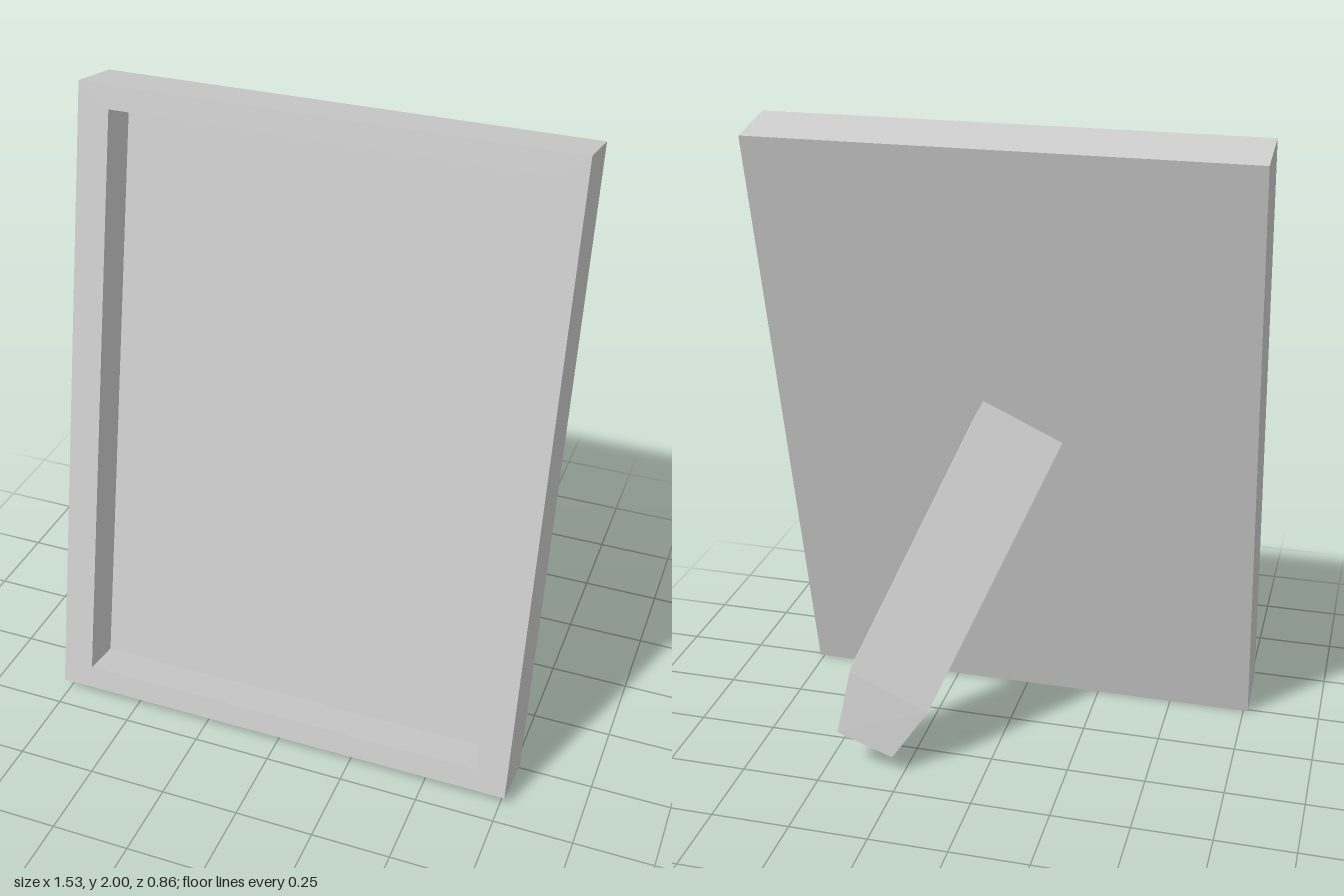
import * as THREE from 'three';
import { ConvexGeometry } from 'three/addons/geometries/ConvexGeometry.js';

const material = new THREE.MeshStandardMaterial({ color: 0xcccccc, flatShading: true });

// Leaning space of the frame: x across, y 0..1 up the back, z 0..1 from back to front
const lean = new THREE.Matrix4().makeBasis(
  new THREE.Vector3(1, 0, 0),
  new THREE.Vector3(0, 1.965, -0.43),
  new THREE.Vector3(0, 0.035, 0.19),
).setPosition(0, 0, 0.24);

const HALF_WIDTH = 0.765, PANEL_DEPTH = 0.31;

function part(name, geometry) {
  const mesh = new THREE.Mesh(geometry, material);
  mesh.name = name;
  return mesh;
}

function rectangle(path, halfWidth, bottom, top) {
  path.moveTo(-halfWidth, bottom);
  path.lineTo(halfWidth, bottom);
  path.lineTo(halfWidth, top);
  path.lineTo(-halfWidth, top);
  path.closePath();
  return path;
}

export function createModel() {
  const model = new THREE.Group();
  model.name = 'pictureFrame';

  // Raised border around the picture
  const border = rectangle(new THREE.Shape(), HALF_WIDTH, 0, 1);
  border.holes.push(rectangle(new THREE.Path(), 0.665, 0.037, 0.964));
  const rim = new THREE.ExtrudeGeometry(border, { depth: 1 - PANEL_DEPTH, bevelEnabled: false });
  rim.translate(0, 0, PANEL_DEPTH).applyMatrix4(lean);
  model.add(part('frameBorder', rim));

  // Back panel, its front forming the floor of the recess
  const panel = new THREE.BoxGeometry(HALF_WIDTH * 2, 1, PANEL_DEPTH);
  panel.translate(0, 0.5, PANEL_DEPTH / 2).applyMatrix4(lean);
  model.add(part('backPanel', panel));

  // Swivelled stand leg: top, knee and tip sections, each as outer edge plus thickness
  const sections = [
    { left: [-0.166, 1.02, -0.004], right: [0.08, 1.143, -0.024], thickness: [0.016, -0.014, 0.052] },
    { left: [0.178, 0.21, -0.355], right: [0.424, 0.333, -0.375], thickness: [0.016, -0.014, 0.052] },
    { left: [0.281, 0.064, -0.412], right: [0.453, 0.143, -0.432], thickness: [0.008, -0.011, 0.037] },
  ];
  const corners = sections.flatMap(({ left, right, thickness }) =>
    [left, right].flatMap((edge) => {
      const outer = new THREE.Vector3(...edge);
      return [outer, outer.clone().add(new THREE.Vector3(...thickness))];
    }));
  model.add(part('standLeg', new ConvexGeometry(corners)));

  return model;
}
